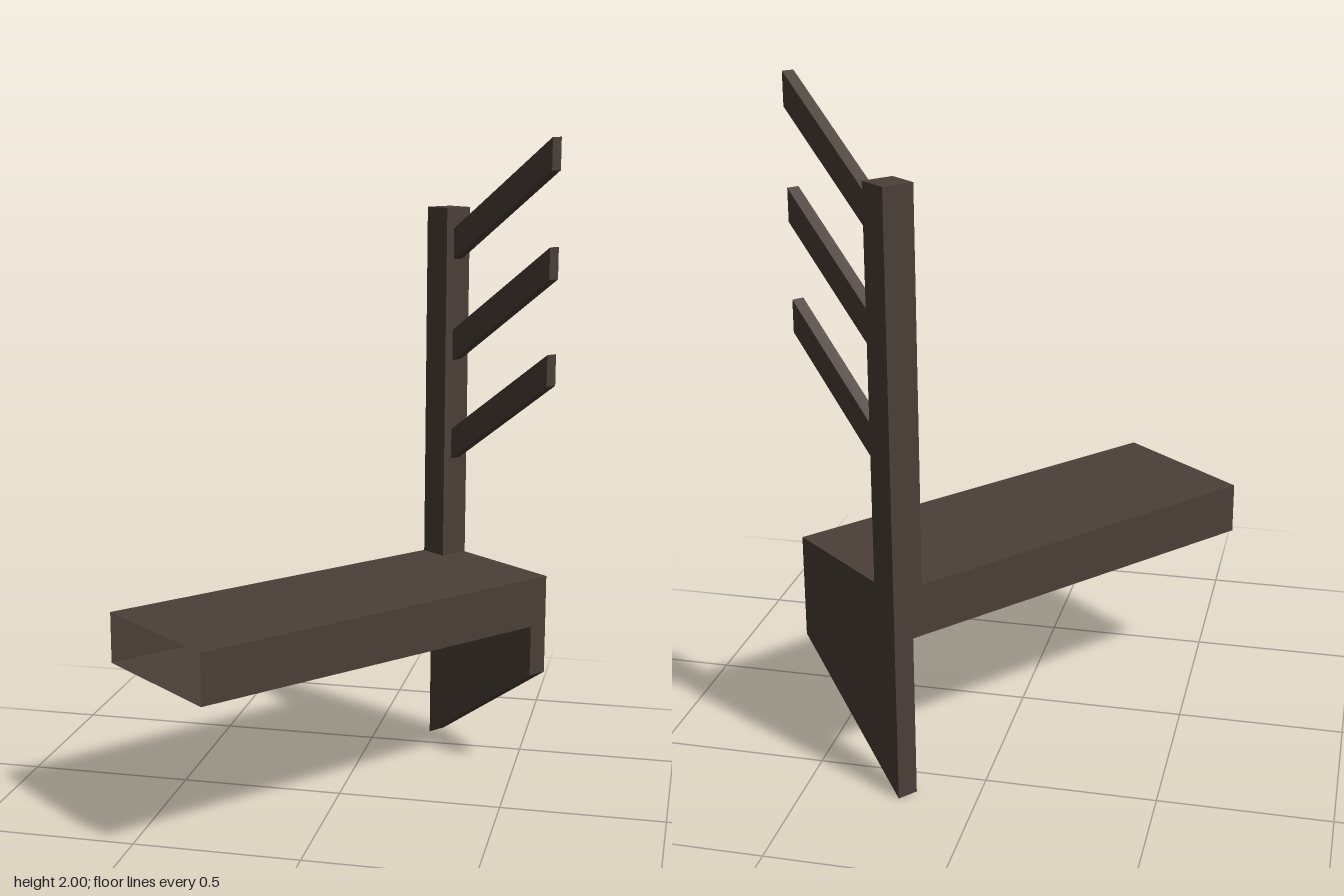
import * as THREE from 'three';

export function createModel() {
  const wood = new THREE.MeshStandardMaterial({ color: 0x4b3f38, side: THREE.DoubleSide });
  wood.name = 'darkWood';

  const WIDTH = 0.483, LENGTH = 1.29, SEAT_TOP = 0.645, SEAT_BOTTOM = 0.49;
  const PANEL = 0.062, POST = 0.095;

  // Local frame: origin at the post's outer corner, x across the seat, z along it
  const model = new THREE.Group();
  model.name = 'benchWithRack';
  const frame = new THREE.Group();
  frame.name = 'frame';
  frame.position.set(0.22, 0, -0.648);
  frame.rotation.y = THREE.MathUtils.degToRad(-40);
  model.add(frame);

  const add = (name, geometry, x, y, z) => {
    const mesh = new THREE.Mesh(geometry, wood);
    mesh.name = name;
    mesh.position.set(x, y, z);
    frame.add(mesh);
  };

  // Flat outline in local x/y, given thickness along z
  const slab = (points, depth) => new THREE.ExtrudeGeometry(
    new THREE.Shape(points.map(([x, y]) => new THREE.Vector2(x, y))),
    { depth, bevelEnabled: false }
  );

  // Hollow seat: a box keeping only its sides, top and bottom, open at the far end
  const seat = new THREE.BoxGeometry(WIDTH, SEAT_TOP - SEAT_BOTTOM, LENGTH - PANEL);
  seat.setIndex(Array.from(seat.index.array).slice(0, 24));
  seat.clearGroups();
  add('seat', seat, WIDTH / 2, (SEAT_TOP + SEAT_BOTTOM) / 2, (LENGTH + PANEL) / 2);

  // End panel with a slanted lower edge
  add('endPanel', slab([[0, 0], [WIDTH, 0.33], [WIDTH, SEAT_TOP], [0, SEAT_TOP]], PANEL), 0, 0, 0);

  // Upright post
  const postHeight = 1.775 - SEAT_TOP;
  add('post', new THREE.BoxGeometry(POST, postHeight, POST), POST / 2, SEAT_TOP + postHeight / 2, POST / 2);

  // Three slanted arms with vertical ends
  const reach = 0.435, rise = 0.29, armHeight = 0.097, armDepth = 0.036;
  for (let i = 0; i < 3; i++) {
    const arm = slab([[0, 0], [reach, rise], [reach, rise + armHeight], [0, armHeight]], armDepth);
    add(`arm${i + 1}`, arm, POST, 0.968 + i * 0.3225, (POST - armDepth) / 2);
  }

  return model;
}
